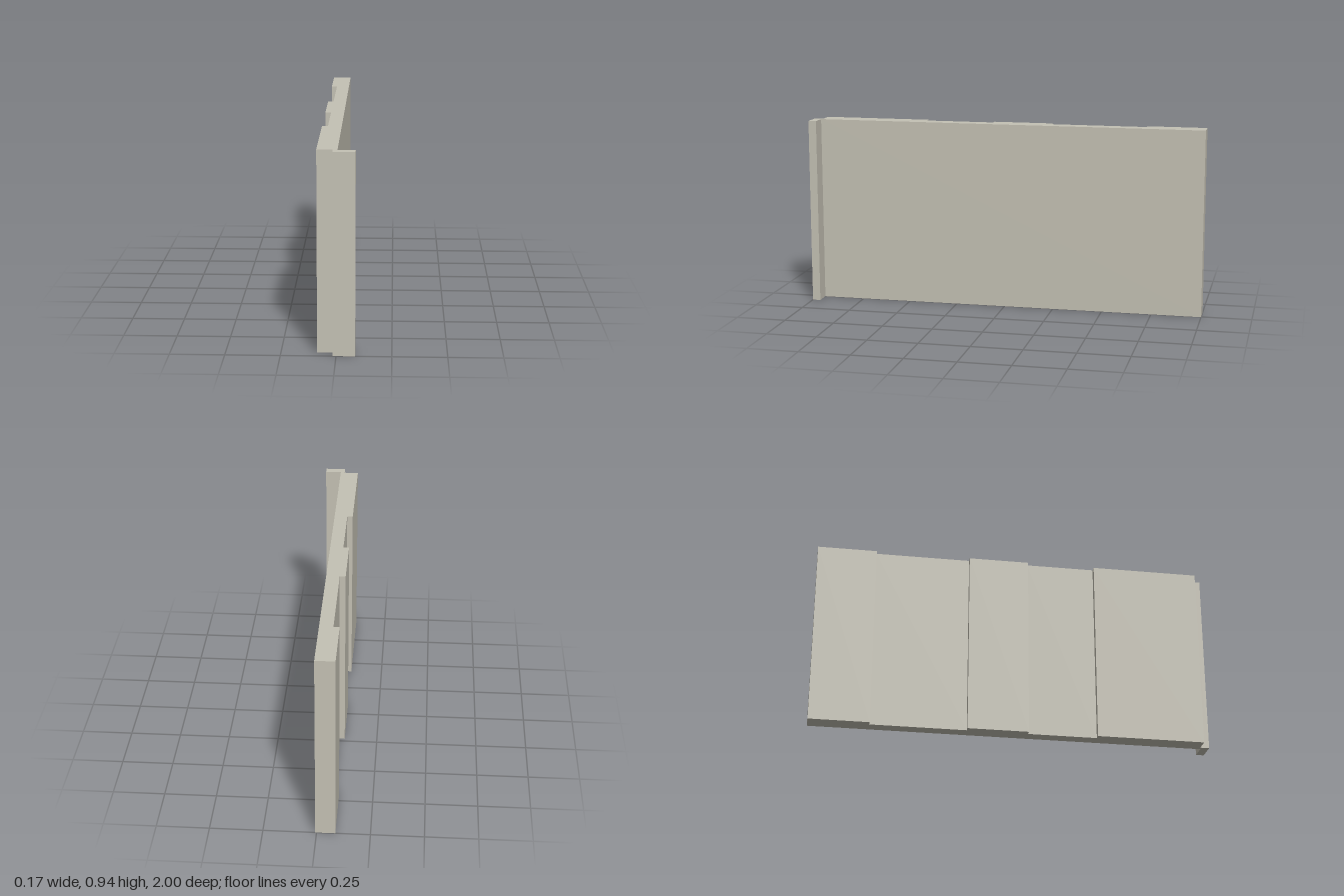
import * as THREE from 'three';

export function createModel() {
  const group = new THREE.Group();
  group.name = 'wallPanel';

  const stone = new THREE.MeshStandardMaterial({ color: 0xc4c1b4 });
  stone.name = 'warm grey';

  const height = 0.935;
  const outer = -0.087;   // raised outer face
  const recessed = -0.059; // bottom of the shallow recesses
  const inner = 0.006;    // flat inner face

  // Plan outline as [x, z]: slab with two recesses and an end flange
  const outline = [
    [outer, -1], [inner, -1],
    [inner, 0.96], [0.086, 0.96], [0.086, 1], [-0.015, 1], [-0.015, 0.954],
    [outer, 0.954],
  ];
  for (const [front, back] of [[0.416, 0.072], [-0.23, -0.704]]) {
    outline.push([outer, front], [recessed, front], [recessed, back], [outer, back]);
  }

  const shape = new THREE.Shape(outline.map(([x, z]) => new THREE.Vector2(x, -z)));
  const geometry = new THREE.ExtrudeGeometry(shape, { depth: height, bevelEnabled: false });
  geometry.rotateX(-Math.PI / 2); // stand the plan upright

  const panel = new THREE.Mesh(geometry, stone);
  panel.name = 'recessedPanelWithFlange';
  group.add(panel);
  return group;
}
